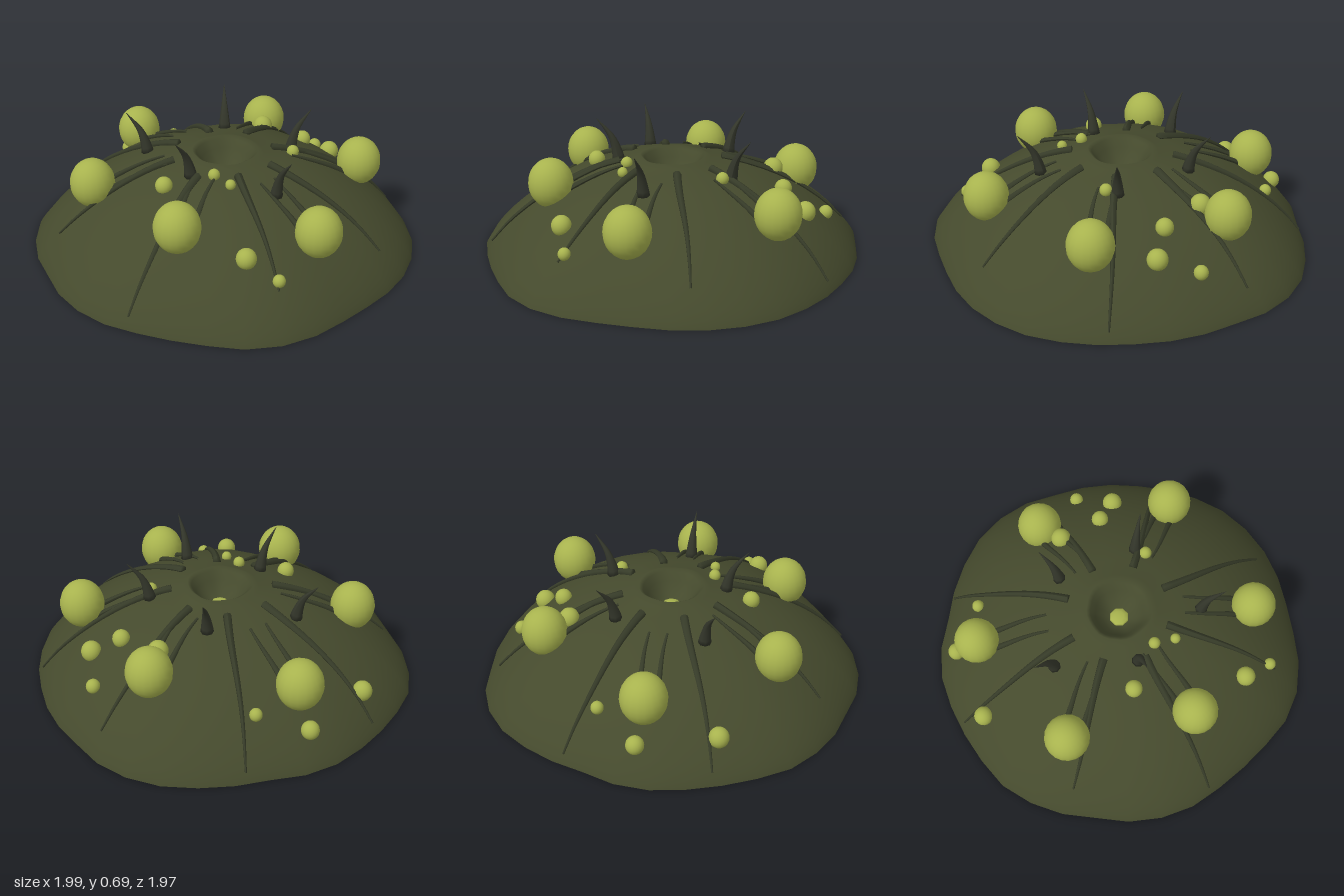
import * as THREE from 'three';
import { mergeVertices } from 'three/addons/utils/BufferGeometryUtils.js';

// Outline radius every 15 degrees, measured from +x towards +z
const OUTLINE = [0.975, 0.97, 0.965, 0.98, 1.0, 1.0, 0.98, 0.96, 1.0, 1.025, 0.985, 0.97,
  1.0, 1.01, 0.99, 1.015, 1.02, 0.99, 0.99, 1.0, 0.965, 0.985, 1.015, 1.02];

function outline(x, z) {
  const a = ((Math.atan2(z, x) / (Math.PI * 2) + 1) % 1) * 24;
  const i = Math.floor(a) % 24;
  return THREE.MathUtils.lerp(OUTLINE[i], OUTLINE[(i + 1) % 24], a - Math.floor(a));
}

const domeHeight = (t) => 0.505 * Math.pow(Math.max(0, 1 - t * t), 0.8);
const surfaceY = (x, z) => domeHeight(Math.hypot(x, z) / outline(x, z));

// Lathe whose plan follows the uneven outline
function wavyLathe(points) {
  let geo = new THREE.LatheGeometry(points.map(([r, y]) => new THREE.Vector2(r, y)), 36);
  const p = geo.attributes.position;
  for (let i = 0; i < p.count; i++) {
    const x = p.getX(i), z = p.getZ(i), w = outline(x, z);
    p.setX(i, x * w);
    p.setZ(i, z * w);
  }
  geo.deleteAttribute('uv');
  geo.deleteAttribute('normal');
  geo = mergeVertices(geo, 1e-5);
  geo.computeVertexNormals();
  return geo;
}

// Tube with a radius running from r0 to r1 and a flat cap at its start
function taperedTube(points, r0, r1, segments = 14, sides = 7) {
  const curve = new THREE.CatmullRomCurve3(points);
  const geo = new THREE.TubeGeometry(curve, segments, 1, sides);
  const p = geo.attributes.position, v = new THREE.Vector3();
  for (let i = 0; i <= segments; i++) {
    const c = curve.getPointAt(i / segments);
    const first = curve.getPointAt(1 / segments);
    const r = i === 0 ? 0 : THREE.MathUtils.lerp(r0, r1, i / segments);
    for (let j = 0; j <= sides; j++) {
      const k = i * (sides + 1) + j;
      v.fromBufferAttribute(p, k).sub(c).multiplyScalar(r).add(i === 0 ? first : c);
      p.setXYZ(k, v.x, v.y, v.z);
    }
  }
  geo.computeVertexNormals();
  return geo;
}

// Points lying on the dome between two plan positions, with a slight sway
function groundPath(x0, z0, x1, z1, lift, sway = 0) {
  const pts = [];
  for (let i = 0; i <= 8; i++) {
    const t = i / 8, s = Math.sin(t * Math.PI * 2) * sway;
    const x = x0 + (x1 - x0) * t - (z1 - z0) * s;
    const z = z0 + (z1 - z0) * t + (x1 - x0) * s;
    pts.push(new THREE.Vector3(x, surfaceY(x, z) + lift, z));
  }
  return pts;
}

export function createModel() {
  const group = new THREE.Group();
  const mat = (name, color) => {
    const m = new THREE.MeshStandardMaterial({ color });
    m.name = name;
    return m;
  };
  const skin = mat('olive skin', 0x454a2d);
  const root = mat('dark root', 0x363b28);
  const thorn = mat('dark thorn', 0x33362a);
  const pus = mat('yellow green pod', 0xa8b34e);
  const add = (name, geo, material) => {
    const mesh = new THREE.Mesh(geo, material);
    mesh.name = name;
    group.add(mesh);
    return mesh;
  };

  // Mound with a crater at the top
  const profile = [];
  for (let i = 0; i <= 14; i++) {
    const a = (i / 14) * 1.37;
    const t = Math.cos(a);
    profile.push([t, domeHeight(t)]);
  }
  profile.push([0.17, 0.505], [0.15, 0.492], [0.125, 0.45], [0.09, 0.405], [0.05, 0.38], [0, 0.375]);
  add('mound', wavyLathe(profile), skin);
  add('underside', wavyLathe([[0, 0], [1, 0]]), skin);

  // Glowing core in the crater
  const core = add('craterCore', new THREE.SphereGeometry(0.052, 8, 6), pus);
  core.position.set(0, 0.378, 0);
  core.scale.y = 0.4;

  // Long veins running down from the crater
  const veins = [
    [-0.04, -0.21, -0.125, -0.95], [0.12, -0.17, 0.57, -0.76],
    [0.195, -0.04, 0.91, -0.12], [0.145, 0.12, 0.755, 0.57],
    [0.02, 0.2, 0.095, 0.87], [-0.135, 0.155, -0.53, 0.675],
    [-0.215, 0.02, -0.95, 0.11], [-0.17, -0.14, -0.7, -0.55],
  ];
  for (const [x0, z0, x1, z1] of veins) {
    add('vein', taperedTube(groundPath(x0, z0, x1, z1, 0.006, 0.008), 0.023, 0.005), root);
  }

  // Large pods, each fed by a pair of tendrils
  const pods = [
    [-0.62, 0.4, 0.155], [-0.2, 0.35, 0.685], [0.51, 0.375, 0.51],
    [0.655, 0.375, -0.19], [0.18, 0.345, -0.73], [-0.49, 0.375, -0.49],
  ];
  const ball = new THREE.SphereGeometry(1, 20, 14);
  for (const [x, y, z] of pods) {
    const pod = add('largePod', ball, pus);
    pod.position.set(x, y, z);
    pod.scale.set(0.116, 0.13, 0.116);
    const r = Math.hypot(x, z), dx = x / r, dz = z / r, start = r - 0.38;
    for (const side of [-1, 1]) {
      const ox = -dz * side * 0.045, oz = dx * side * 0.045;
      add('tendril', taperedTube(
        groundPath(x + ox, z + oz, dx * start + ox, dz * start + oz, 0.007, 0.01), 0.019, 0.006), root);
    }
  }

  // Small pods: x, z, radius
  const buds = [
    [-0.165, -0.84, 0.05], [0.23, -0.85, 0.045], [0.4, -0.655, 0.032], [0.53, -0.115, 0.052],
    [0.565, 0.125, 0.045], [0.67, 0.24, 0.052], [0.795, 0.075, 0.036], [0.25, 0.255, 0.032],
    [-0.235, 0.095, 0.03], [-0.25, 0.205, 0.026], [-0.405, -0.09, 0.044],
    [-0.53, 0.49, 0.05], [-0.5, 0.655, 0.031],
  ];
  for (const [x, z, r] of buds) {
    const bud = add('smallPod', ball, pus);
    bud.position.set(x, surfaceY(x, z) + 0.012, z);
    bud.scale.set(r, r * 1.05, r);
  }

  // Five curved thorns leaning outwards: angle, base radius, tip height
  const thorns = [[183, 0.28, 0.69], [252, 0.43, 0.635], [324, 0.36, 0.66], [109, 0.42, 0.65], [36, 0.36, 0.66]];
  for (const [deg, r, tip] of thorns) {
    const a = THREE.MathUtils.degToRad(deg);
    const base = surfaceY(r * Math.cos(a), r * Math.sin(a)) - 0.03;
    const path = [[0, 0], [0.012, 0.3], [0.04, 0.62], [0.115, 1]].map(([out, h]) =>
      new THREE.Vector3((r + out) * Math.cos(a), base + (tip - base) * h, (r + out) * Math.sin(a)));
    add('thorn', taperedTube(path, 0.037, 0.001, 10, 8), thorn);
  }
  return group;
}
